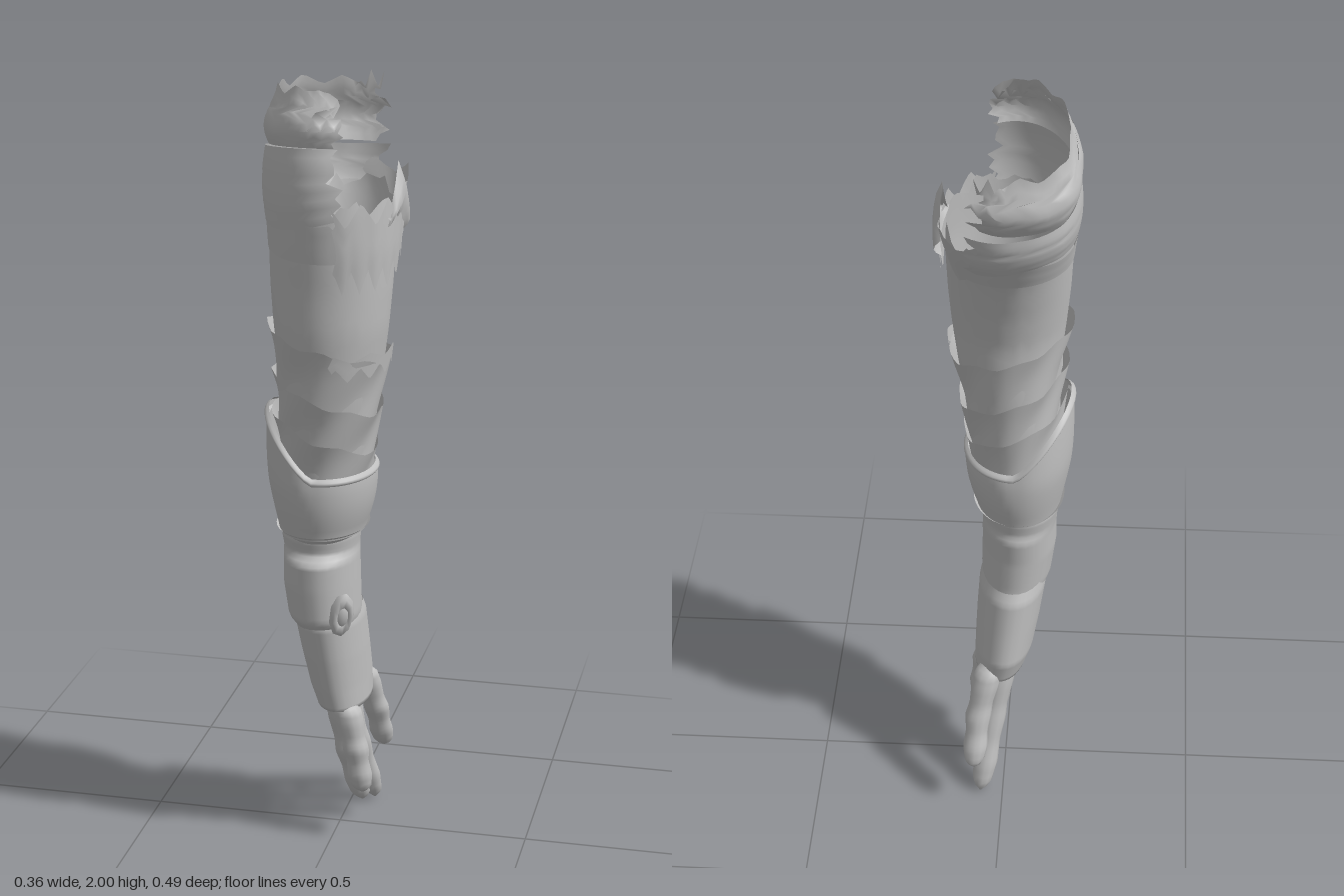
import * as THREE from 'three';

const clothGrey = new THREE.MeshStandardMaterial({ color: 0xbebebe, side: THREE.DoubleSide });
clothGrey.name = 'clothGrey';

const DEG = Math.PI / 180;
const noise = (n) => { const s = Math.sin(n * 12.9898 + 4.1) * 43758.5453; return s - Math.floor(s); };
// Triangle wave from 0 to 1, for torn teeth
const tooth = (d, period) => Math.abs((((d / period) % 1) + 1) % 1 * 2 - 1);

// Arm outline from top to wrist: y, xMin, xMax, zMin, zMax
const ARM = [
  [2.00, -0.160, 0.125, -0.228, 0.206], [1.85, -0.165, 0.135, -0.212, 0.226],
  [1.70, -0.162, 0.145, -0.172, 0.236], [1.60, -0.162, 0.148, -0.130, 0.235],
  [1.50, -0.157, 0.145, -0.100, 0.230], [1.40, -0.148, 0.138, -0.080, 0.230],
  [1.30, -0.137, 0.125, -0.080, 0.222], [1.20, -0.135, 0.110, -0.080, 0.218],
  [1.00, -0.135, 0.085, -0.085, 0.200], [0.87, -0.125, 0.062, -0.075, 0.180],
];

function section(rows, y) {
  let i = 0;
  while (i < rows.length - 2 && y < rows[i + 1][0]) i++;
  const [a, b] = [rows[i], rows[i + 1]];
  const t = THREE.MathUtils.clamp((a[0] - y) / (a[0] - b[0]), 0, 1);
  return a.map((v, k) => THREE.MathUtils.lerp(v, b[k], t));
}

// Cloth shell around an outline; the edges are functions of the angle (0 = +x, 90 = +z)
function shell(parent, name, { rows = ARM, low, high, from = 0, to = 360, steps = 12, segs = 48, off = () => 0, ragged = 0 }) {
  const pos = [], idx = [], closed = to - from === 360, w = closed ? segs : segs + 1;
  for (let j = 0; j <= steps; j++) {
    const v = j / steps;
    const a0 = from + ragged * noise(j * 3 + from), a1 = to - ragged * noise(j * 5 + to);
    for (let i = 0; i < w; i++) {
      const deg = a0 + (a1 - a0) * i / segs, a = deg * DEG;
      const y = THREE.MathUtils.lerp(low(deg, i), high(deg, i), v);
      const [, x0, x1, z0, z1] = section(rows, y), o = off(v, deg, i);
      pos.push((x0 + x1) / 2 + ((x1 - x0) / 2 + o) * Math.cos(a), y,
        (z0 + z1) / 2 + ((z1 - z0) / 2 + o) * Math.sin(a));
    }
  }
  for (let j = 0; j < steps; j++) for (let i = 0; i < segs; i++) {
    const a = j * w + i, b = j * w + (i + 1) % w, c = a + w, d = b + w;
    idx.push(b, a, c, b, c, d);
  }
  const g = new THREE.BufferGeometry();
  g.setAttribute('position', new THREE.Float32BufferAttribute(pos, 3));
  g.setIndex(idx);
  g.computeVertexNormals();
  const mesh = new THREE.Mesh(g, clothGrey);
  mesh.name = name;
  parent.add(mesh);
}

// Lofts a form through its own outline rows
function loft(parent, name, rows, segs = 24, steps = 24) {
  const top = rows[0][0], bottom = rows[rows.length - 1][0];
  shell(parent, name, { rows, low: () => bottom, high: () => top, segs, steps });
}

export function createModel() {
  const model = new THREE.Group();
  model.name = 'tatteredArm';

  // Forearm sleeve, torn lower on the outer side
  shell(model, 'forearmSleeve', {
    low: () => 0.86, high: (d, i) => 1.68 + 0.05 * noise(i), steps: 30,
  });

  // Two torn tiers at the open shoulder end, pulled outward at the back tear
  const pull = (d) => 0.05 * Math.max(0, (d - 262) / 40);
  const corner = (d) => 0.022 * Math.max(0, 1 - Math.abs(d - 222) / 34);
  shell(model, 'upperTier', {
    from: 64, to: 304, ragged: 18, steps: 10, segs: 40,
    off: (v, d) => 0.004 + 0.014 * Math.sin(v * 4.5) + v * pull(d) + corner(d),
    low: (d) => 1.83 + 0.03 * Math.sin(d * DEG),
    high: (d) => Math.min(2, 1.965 + 0.02 * Math.sin(d * DEG)
      + (d > 275 || d < 100 ? 0.06 * (tooth(d, 11) - 0.4) : 0.025 * (tooth(d, 37) - 0.3))),
  });
  shell(model, 'lowerTier', {
    from: 62, to: 308, ragged: 18, steps: 9, segs: 40,
    off: (v, d) => 0.004 + 0.016 * Math.sin(0.4 + v * 2.2) + 0.5 * v * pull(d) + 0.4 * corner(d),
    low: (d) => 1.675 + 0.02 * Math.sin(d * DEG * 2), high: (d) => 1.825 + 0.035 * Math.sin(d * DEG),
  });
  // Folded hem below the tiers
  shell(model, 'tierHem', {
    from: 70, to: 325, ragged: 8, steps: 4, segs: 36, off: (v) => 0.002 + 0.010 * v,
    low: (d) => 1.60 - 0.02 * Math.sin(d * DEG), high: (d) => 1.69 + 0.015 * Math.sin(d * DEG * 3),
  });

  // Torn flaps on the outer side
  shell(model, 'toothedFlap', {
    from: -8, to: 76, ragged: 5, steps: 6, segs: 32, off: (v) => 0.014 + 0.008 * v,
    low: (d) => 1.505 + 0.06 * tooth(d, 15) + 0.0012 * Math.max(0, 25 - d),
    high: (d) => 1.67 + 0.06 * tooth(d, 26),
  });
  shell(model, 'backFlap', {
    from: -82, to: -12, ragged: 6, steps: 5, segs: 12,
    off: (v, d) => 0.006 + 0.036 * v * Math.max(0, 1 - Math.abs(d + 38) / 40),
    low: (d) => 1.60 + 0.0022 * Math.abs(d + 45), high: (d) => 1.73 + 0.035 * tooth(d, 35),
  });
  shell(model, 'tornSpike', {
    from: -16, to: 26, steps: 4, segs: 6, off: (v) => 0.012 + 0.02 * Math.sin(v * 3),
    low: (d) => 1.62 + 0.0015 * (d + 16), high: (d) => 1.81 - 0.007 * Math.abs(d - 4),
  });

  // Overlapping wraps with slanting folded edges
  const wraps = [[1.21, 1.36, 0.04], [1.10, 1.23, 0.05], [1.0, 1.13, 0.05]];
  wraps.forEach(([lo, hi, slant], k) => shell(model, 'wrap' + (k + 1), {
    low: (d) => lo - slant * Math.cos(d * DEG),
    high: (d) => hi - slant * Math.cos(d * DEG) + 0.014 * (tooth(d, 43 + k * 9) - 0.5),
    steps: 6, off: (v, d) => 0.002 + 0.014 * v * v + 0.004 * Math.sin(d * DEG * 5 + v * 4 + k),
  }));
  shell(model, 'tornStrip', {
    from: -15, to: 80, ragged: 8, steps: 2, segs: 28, off: () => 0.017,
    low: (d) => 1.285 + 0.035 * tooth(d, 24), high: (d) => 1.335 + 0.02 * tooth(d, 38),
  });

  // Wrist cuff, rising to a curved peak on the inner side
  const rim = (d) => 1.025 + 0.155 * Math.pow(Math.max(0, -Math.cos(d * DEG)), 1.3);
  const flare = (v, d) => 0.016 + 0.010 * Math.sin(v * 3) + 0.016 * v * Math.max(0, -Math.cos(d * DEG));
  shell(model, 'cuff', { low: () => 0.86, high: rim, off: flare });
  shell(model, 'cuffRim', {
    low: (d) => rim(d) - 0.018, high: (d) => rim(d) + 0.006, steps: 6,
    off: (v, d) => flare(1, d) - 0.006 + 0.012 * Math.sin(v * Math.PI),
  });
  shell(model, 'cuffHem', { low: () => 0.845, high: () => 0.87, steps: 4, off: (v) => -0.006 + 0.03 * v });

  // Wrist glove and palm
  loft(model, 'wrist', [
    [0.90, -0.115, 0.055, -0.06, 0.16], [0.85, -0.138, 0.064, -0.074, 0.175], [0.81, -0.132, 0.06, -0.068, 0.165],
    [0.79, -0.13, 0.062, -0.078, 0.195], [0.72, -0.13, 0.064, -0.074, 0.192],
    [0.63, -0.118, 0.066, -0.076, 0.185], [0.595, -0.10, 0.06, -0.08, 0.155],
  ], 28, 30);
  loft(model, 'palm', [
    [0.64, -0.105, 0.062, -0.095, 0.16], [0.61, -0.106, 0.07, -0.114, 0.17], [0.52, -0.092, 0.076, -0.13, 0.155],
    [0.43, -0.075, 0.08, -0.147, 0.138], [0.37, -0.055, 0.082, -0.135, 0.125], [0.34, 0.01, 0.014, -0.005, 0.005],
  ], 28, 30);

  // Thumb stump: short ragged ring with a core
  const thumb = new THREE.Group();
  thumb.name = 'thumbStump';
  const ring = new THREE.Mesh(new THREE.TorusGeometry(0.024, 0.014, 6, 9), clothGrey);
  ring.name = 'thumbCollar';
  ring.scale.set(0.85, 1.6, 1.3);
  const core = new THREE.Mesh(new THREE.SphereGeometry(0.022, 12, 8), clothGrey);
  core.name = 'thumbCore';
  core.scale.set(1, 1.7, 0.9);
  thumb.add(ring, core);
  thumb.position.set(0.042, 0.66, 0.17);
  thumb.rotation.set(0.1, 0.45, -0.15);
  model.add(thumb);

  // Four fingers: knuckle, middle joint and tip as x, y, z
  const fingers = [
    ['indexFinger', [0.035, 0.385, 0.086], [0.062, 0.26, 0.09], [0.078, 0.13, 0.078]],
    ['middleFinger', [0.0, 0.385, 0.03], [0.022, 0.21, 0.0], [0.05, 0.045, -0.052]],
    ['ringFinger', [0.0, 0.385, -0.035], [0.03, 0.20, -0.085], [0.06, 0.0, -0.165]],
    ['littleFinger', [0.035, 0.41, -0.105], [0.065, 0.27, -0.155], [0.075, 0.135, -0.215]],
  ];
  const widths = [0.012, 0.036, 0.037, 0.031, 0.035, 0.029, 0.033, 0.025, 0.003];
  const along = [0, 0.06, 0.2, 0.38, 0.5, 0.65, 0.8, 0.94, 1];
  for (const [name, knuckle, joint, tip] of fingers) {
    const rows = along.map((t, k) => {
      const [a, b, s] = t < 0.5 ? [knuckle, joint, t * 2] : [joint, tip, t * 2 - 1];
      const [x, y, z] = a.map((v, n) => THREE.MathUtils.lerp(v, b[n], s));
      const r = widths[k];
      return [y, x - r, x + r, z - r, z + r];
    });
    loft(model, name, rows, 12, 24);
  }
  return model;
}
